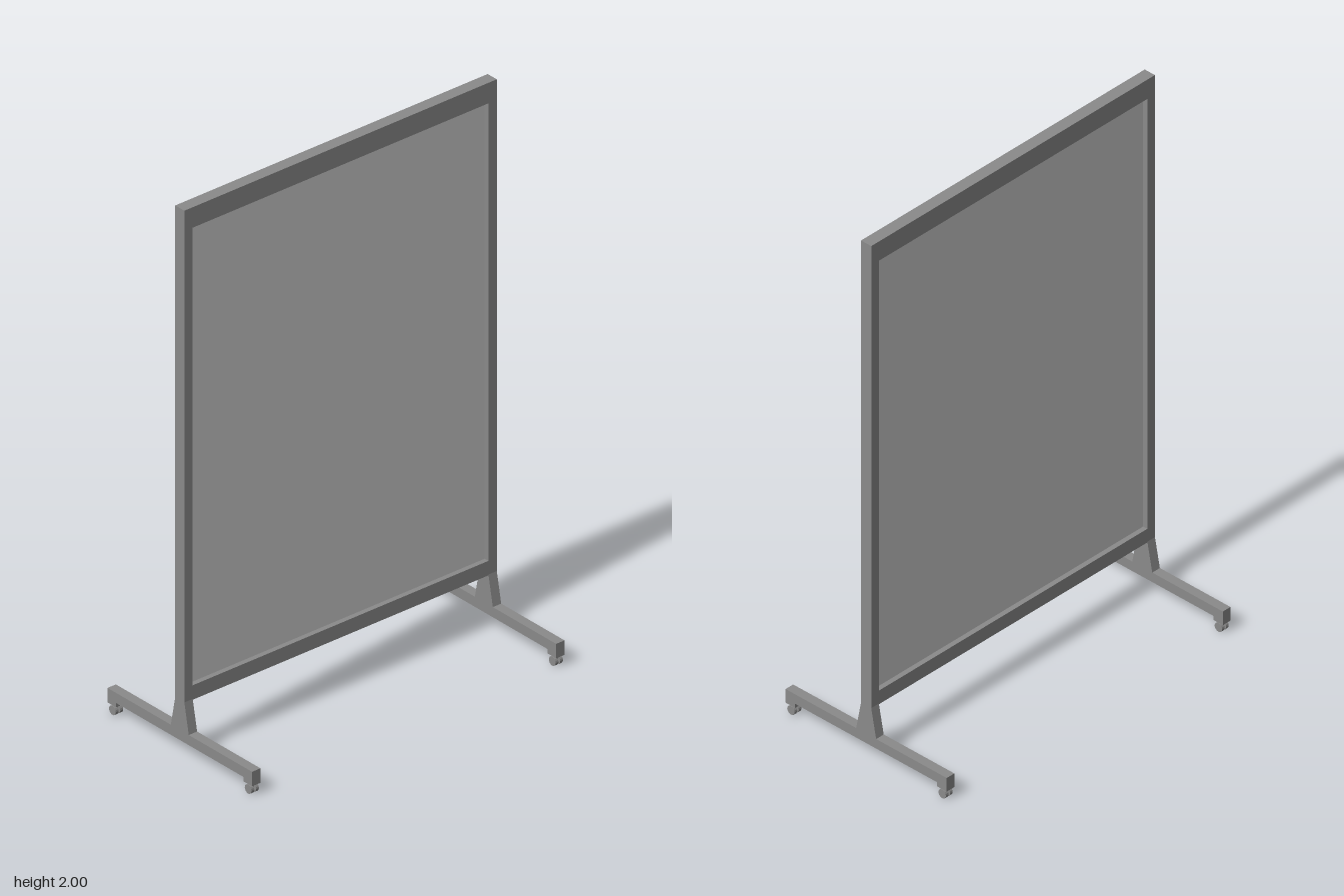
import * as THREE from 'three';

const frameMat = new THREE.MeshStandardMaterial({ color: 0x8a8a8a, flatShading: true });
const panelMat = new THREE.MeshStandardMaterial({ color: 0xcccccc, flatShading: true });

const T = 0.0225; // half thickness of the frame
const W = 0.035;  // width of posts and feet along z
const Z = 0.653;  // outer end of the frame

function add(parent, name, geometry, x, y, z, material = frameMat) {
  const mesh = new THREE.Mesh(geometry, material);
  mesh.name = name;
  mesh.position.set(x, y, z);
  parent.add(mesh);
  return mesh;
}

// Box given by its vertical extent
function slab(parent, name, width, y0, y1, depth, x = 0, z = 0, material = frameMat) {
  return add(parent, name, new THREE.BoxGeometry(width, y1 - y0, depth), x, (y0 + y1) / 2, z, material);
}

// Side outline in x and y, extruded along z and centred
function profile(points) {
  const shape = new THREE.Shape(points.map(([x, y]) => new THREE.Vector2(x, y)));
  return new THREE.ExtrudeGeometry(shape, { depth: W, bevelEnabled: false }).translate(0, 0, -W / 2);
}

function caster(x) {
  const group = new THREE.Group();
  group.name = 'caster';
  group.position.x = x;
  const wheel = new THREE.CylinderGeometry(0.0165, 0.0165, 0.012, 16).rotateX(Math.PI / 2);
  for (const s of [-1, 1]) add(group, 'casterWheel', wheel, 0, 0.0165, s * 0.0095);
  add(group, 'casterAxle', new THREE.CylinderGeometry(0.006, 0.006, 0.02, 10).rotateX(Math.PI / 2), 0, 0.0165, 0);
  slab(group, 'casterStem', 0.012, 0.016, 0.042, 0.007);
  return group;
}

// Post, flared bracket, foot beam and casters at one end
function endSupport(z) {
  const group = new THREE.Group();
  group.name = 'endSupport';
  group.position.z = z;
  slab(group, 'post', 2 * T, 0.2, 2, W);
  add(group, 'flaredBracket', profile([[-0.044, 0.09], [0.044, 0.09], [T, 0.2], [-T, 0.2]]), 0, 0, 0);
  add(group, 'footBeam', profile([
    [-0.355, 0.037], [-0.313, 0.037], [-0.313, 0.053], [0.313, 0.053],
    [0.313, 0.037], [0.355, 0.037], [0.355, 0.09], [-0.355, 0.09],
  ]), 0, 0, 0);
  for (const s of [-1, 1]) group.add(caster(s * 0.333));
  return group;
}

export function createModel() {
  const model = new THREE.Group();
  model.name = 'mobilePartition';
  const inner = Z - W;
  for (const s of [-1, 1]) model.add(endSupport(s * (Z - W / 2)));

  // Rails and the thin recessed panel
  slab(model, 'topRail', 2 * T, 1.925, 2, 2 * inner);
  slab(model, 'bottomRail', 2 * T, 0.197, 0.25, 2 * inner);
  slab(model, 'panel', 0.008, 0.25, 1.925, 2 * inner, 0, 0, panelMat);
  return model;
}
